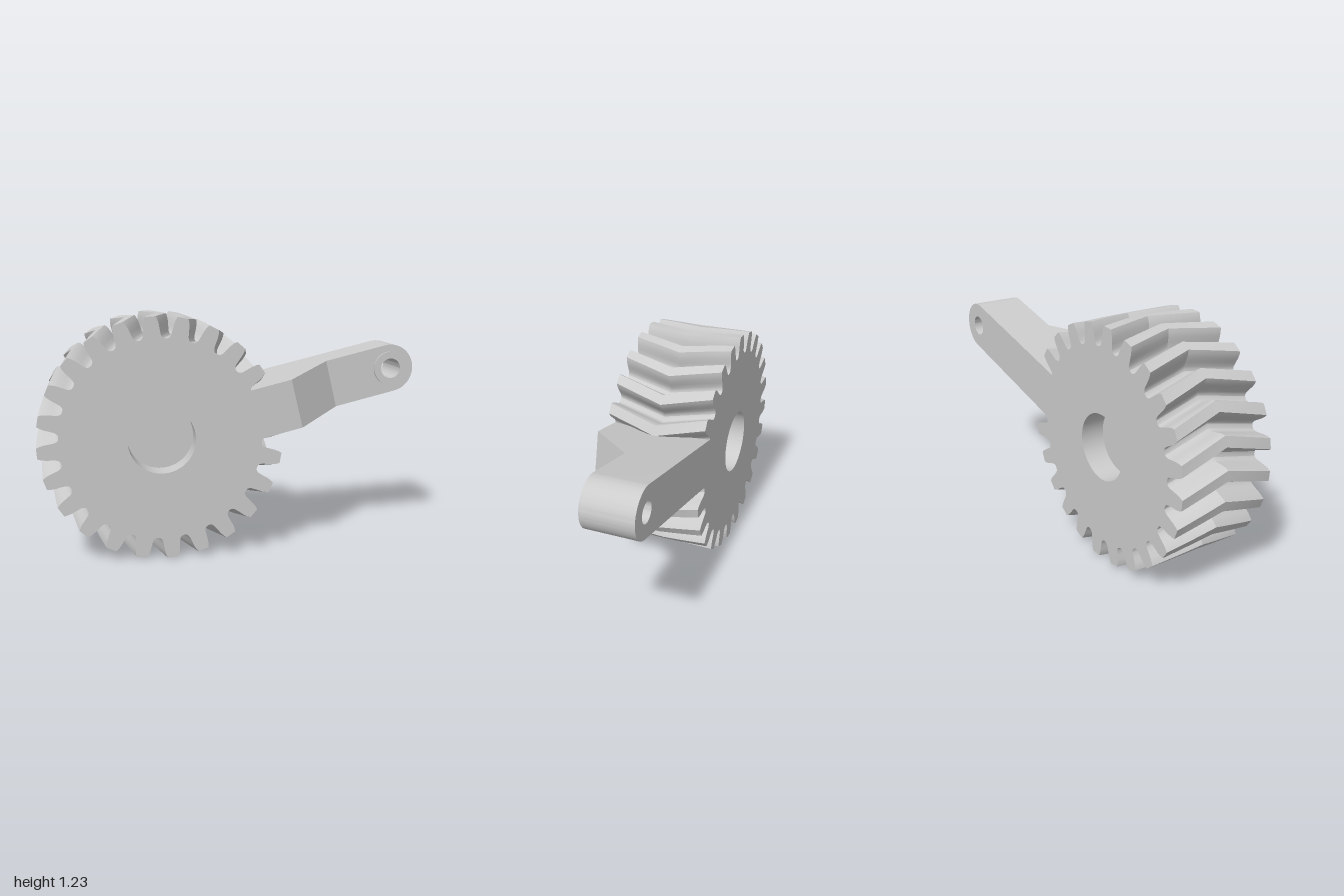
import * as THREE from 'three';
import { toCreasedNormals } from 'three/addons/utils/BufferGeometryUtils.js';

const material = new THREE.MeshStandardMaterial({ color: 0xcccccc });
const DEG = Math.PI / 180;
const HALF = 0.26;          // half thickness of the gear
const TEETH = 24;
const TWIST = 6.7 * DEG;    // turn of the teeth between face and middle
const ARM_LENGTH = 1.296, ARM_HALF = 0.127, PIN_RADIUS = 0.053;

function mesh(name, geometry, crease = 0.45) {
  const m = new THREE.Mesh(toCreasedNormals(geometry, crease), material);
  m.name = name;
  return m;
}

function extrude(shape, depth, steps = 1) {
  return new THREE.ExtrudeGeometry(shape, { depth, steps, bevelEnabled: false, curveSegments: 24 });
}

function circle(x, y, r) {
  return new THREE.Path().absarc(x, y, r, 0, Math.PI * 2, true);
}

// Herringbone gear: toothed outline extruded, then twisted towards the middle
function gearGeometry() {
  // half tooth, from root to tip: [radius, angle from tooth centre in degrees]
  const flank = [[0.505, 7.5], [0.507, 6.2], [0.513, 5.4], [0.525, 4.7],
    [0.55, 4.2], [0.575, 3.8], [0.597, 3.2], [0.613, 2.5]];
  const tooth = [
    ...flank.map(([r, a]) => [r, -a]),
    ...flank.slice(1).reverse().map(([r, a]) => [r, a]),
  ];
  const points = [];
  for (let i = 0; i < TEETH; i++) {
    for (const [r, a] of tooth) {
      const t = (4.5 + (360 / TEETH) * i + a) * DEG;
      points.push(new THREE.Vector2(r * Math.cos(t), r * Math.sin(t)));
    }
  }
  const shape = new THREE.Shape(points);
  shape.holes.push(circle(0, 0, 0.17));
  const geometry = extrude(shape, HALF * 2, 8).translate(0, 0, -HALF);

  const p = geometry.attributes.position;
  for (let i = 0; i < p.count; i++) {
    const t = -TWIST * (1 - Math.abs(p.getZ(i)) / HALF);
    const x = p.getX(i), y = p.getY(i);
    p.setXY(i, x * Math.cos(t) - y * Math.sin(t), x * Math.sin(t) + y * Math.cos(t));
  }
  return geometry;
}

export function createModel() {
  const model = new THREE.Group();
  model.name = 'gearLever';
  model.position.set(-0.389, 0.616, 0);

  model.add(mesh('gear', gearGeometry()));

  // Web closing the bore, leaving a recess on both faces
  const web = mesh('boreWeb', new THREE.CylinderGeometry(0.172, 0.172, 0.27, 48).rotateX(Math.PI / 2));
  model.add(web);

  const arm = new THREE.Group();
  arm.name = 'arm';
  arm.rotation.z = 13.6 * DEG;
  model.add(arm);

  // Rounded bar with the pin hole, filling the rear half of the thickness
  const start = 0.486;
  const bar = new THREE.Shape();
  bar.moveTo(start, -ARM_HALF);
  bar.lineTo(ARM_LENGTH, -ARM_HALF);
  bar.absarc(ARM_LENGTH, 0, ARM_HALF, -Math.PI / 2, Math.PI / 2, false);
  bar.lineTo(start, ARM_HALF);
  bar.holes.push(circle(ARM_LENGTH, 0, PIN_RADIUS));
  arm.add(mesh('armBar', extrude(bar, HALF).translate(0, 0, -HALF)));

  // Sloped shoulder on the front half, next to the gear
  const shoulder = new THREE.Shape([
    new THREE.Vector2(start, 0), new THREE.Vector2(start, -HALF),
    new THREE.Vector2(0.705, -HALF), new THREE.Vector2(0.96, 0),
  ]);
  arm.add(mesh('armShoulder',
    extrude(shoulder, ARM_HALF * 2).translate(0, 0, -ARM_HALF).rotateX(-Math.PI / 2)));

  // Low raised ring around the pin hole
  const ring = new THREE.Shape().absarc(ARM_LENGTH, 0, 0.09, 0, Math.PI * 2, false);
  ring.holes.push(circle(ARM_LENGTH, 0, PIN_RADIUS));
  arm.add(mesh('pinBoss', extrude(ring, 0.012)));

  return model;
}
